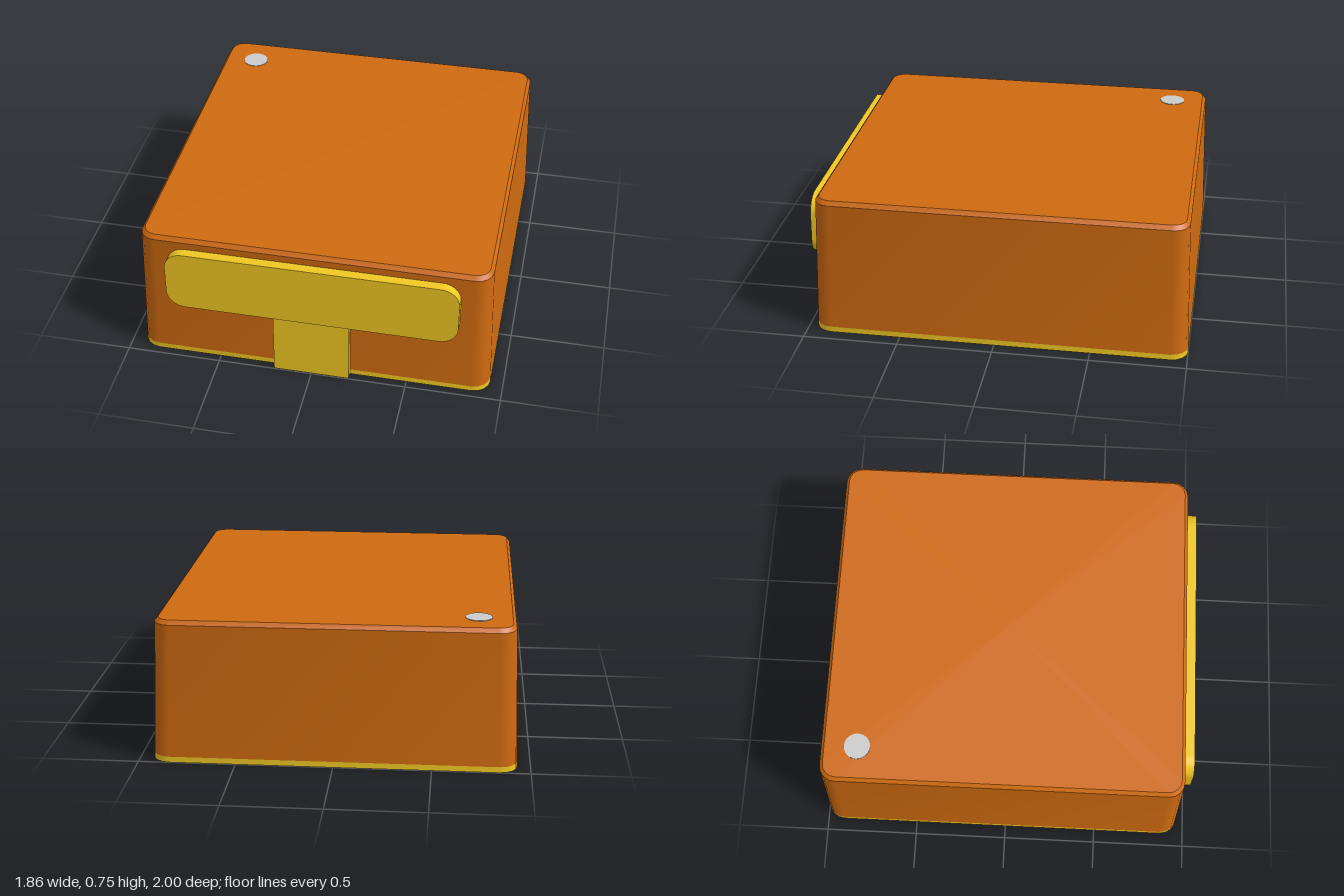
import * as THREE from 'three';
import { toCreasedNormals } from 'three/addons/utils/BufferGeometryUtils.js';

const CORNER_STEPS = 4;

// Points of a rounded rectangle at height y, going from +x towards +z
function ring({ y, x, back, front, r }) {
  const midZ = (front + back) / 2, halfZ = (front - back) / 2;
  const points = [];
  [[1, 1], [-1, 1], [-1, -1], [1, -1]].forEach(([sx, sz], corner) => {
    for (let i = 0; i <= CORNER_STEPS; i++) {
      const a = (corner + i / CORNER_STEPS) * Math.PI / 2;
      points.push([sx * (x - r) + r * Math.cos(a), y, midZ + sz * (halfZ - r) + r * Math.sin(a)]);
    }
  });
  return points;
}

// Skin through stacked rings, closed at the chosen ends
function loft(levels, capBottom, capTop) {
  const rings = levels.map(ring);
  const n = rings[0].length;
  const pos = [];
  for (let k = 0; k < rings.length - 1; k++) {
    for (let i = 0; i < n; i++) {
      const j = (i + 1) % n, a = rings[k], b = rings[k + 1];
      pos.push(...a[i], ...b[i], ...a[j], ...a[j], ...b[i], ...b[j]);
    }
  }
  const cap = (level, points, up) => {
    const centre = [0, level.y, (level.front + level.back) / 2];
    for (let i = 0; i < n; i++) {
      const p = points[i], q = points[(i + 1) % n];
      pos.push(...centre, ...(up ? q : p), ...(up ? p : q));
    }
  };
  if (capBottom) cap(levels[0], rings[0], false);
  if (capTop) cap(levels.at(-1), rings.at(-1), true);
  const geometry = new THREE.BufferGeometry();
  geometry.setAttribute('position', new THREE.Float32BufferAttribute(pos, 3));
  return toCreasedNormals(geometry, 0.5);
}

// Upright rounded plate, extruded towards the front
function roundedPlate(w, h, r, depth) {
  const s = new THREE.Shape();
  const x = w / 2, y = h / 2;
  s.absarc(x - r, y - r, r, 0, Math.PI / 2);
  s.absarc(-x + r, y - r, r, Math.PI / 2, Math.PI);
  s.absarc(-x + r, -y + r, r, Math.PI, Math.PI * 1.5);
  s.absarc(x - r, -y + r, r, Math.PI * 1.5, Math.PI * 2);
  const g = new THREE.ExtrudeGeometry(s, { depth, bevelEnabled: false, curveSegments: 5 });
  return toCreasedNormals(g, 0.5);
}

export function createModel() {
  const model = new THREE.Group();
  const orange = new THREE.MeshStandardMaterial({ color: 0xcf6a10 });
  const yellow = new THREE.MeshStandardMaterial({ color: 0xf0c822 });
  const grey = new THREE.MeshStandardMaterial({ color: 0xcccccc });
  const add = (name, geometry, material) => {
    const mesh = new THREE.Mesh(geometry, material);
    mesh.name = name;
    model.add(mesh);
    return mesh;
  };

  // Tapered case with a narrow chamfer round the top
  const foot = { y: 0, x: 0.932, back: -1, front: 0.96, r: 0.09 };
  const seam = { y: 0.03, x: 0.931, back: -0.999, front: 0.959, r: 0.09 };
  const shoulder = { y: 0.728, x: 0.908, back: -0.976, front: 0.938, r: 0.085 };
  const top = { y: 0.75, x: 0.89, back: -0.958, front: 0.92, r: 0.07 };
  add('case', loft([seam, shoulder, top], false, true), orange);
  add('basePlate', loft([foot, seam], true, false), yellow);

  // Front bar and the leg below it, leaning with the case wall
  const bar = add('frontBar', roundedPlate(1.52, 0.34, 0.095, 0.055), yellow);
  bar.position.set(0, 0.52, 0.94);
  bar.rotation.x = -0.02;

  const leg = add('frontLeg', new THREE.BoxGeometry(0.4, 0.4, 0.045), yellow);
  leg.position.set(0, 0.2, 0.969);
  leg.rotation.x = -0.03;

  // Small round button flush with the top
  const button = add('button', new THREE.CylinderGeometry(0.069, 0.069, 0.02, 24), grey);
  button.position.set(-0.72, 0.743, -0.785);

  return model;
}
